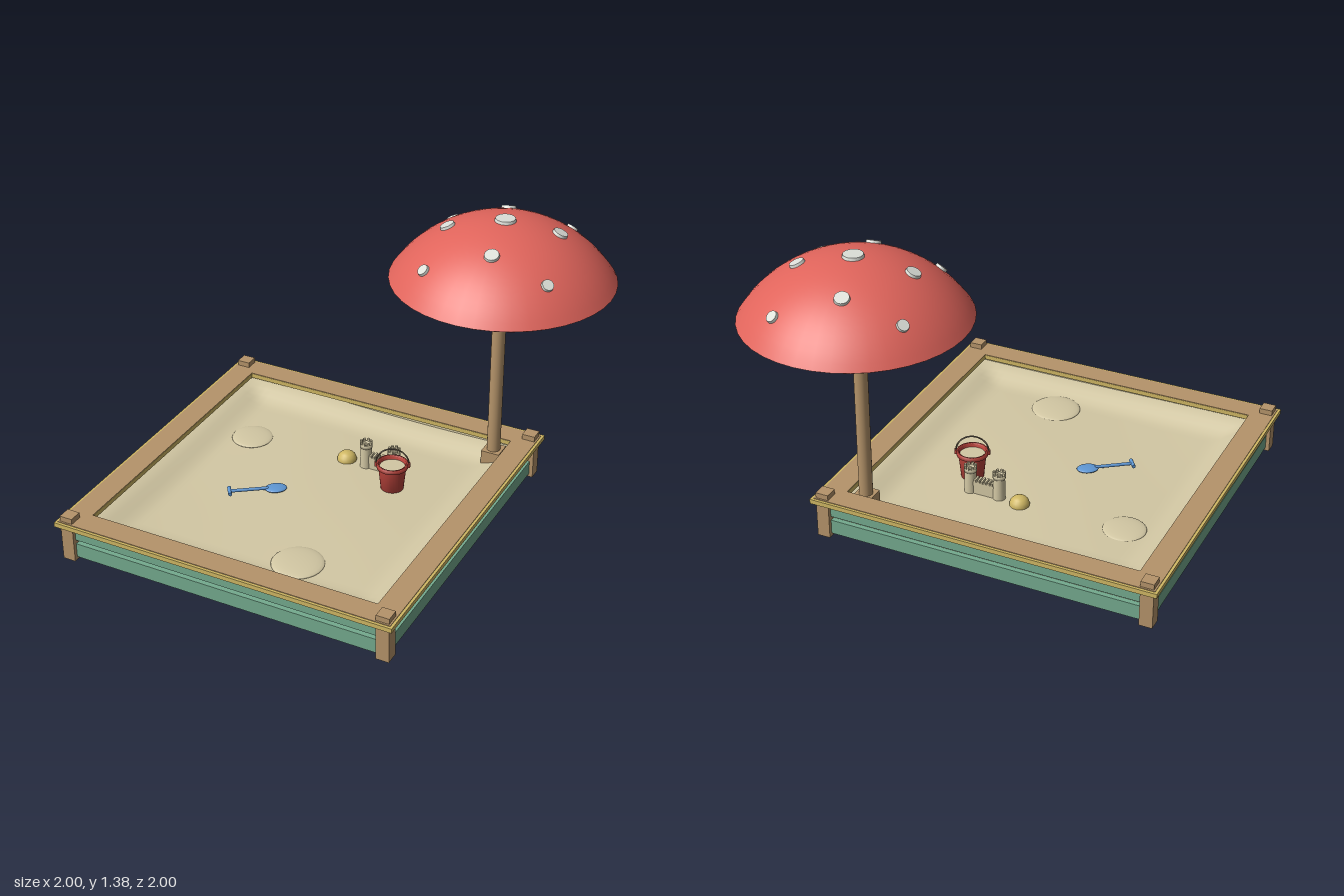
import * as THREE from 'three';

const mat = (name, color, side = THREE.FrontSide) => {
  const m = new THREE.MeshStandardMaterial({ color, side });
  m.name = name;
  return m;
};

export function createModel() {
  const wood = mat('wood', 0xb5946a);
  const trim = mat('yellow trim', 0xd0b864);
  const green = mat('green paint', 0x74aa8e);
  const sand = mat('sand', 0xd3c8a4, THREE.DoubleSide);
  const red = mat('canopy red', 0xe0645b);
  const white = mat('spot white', 0xdcdfd8);
  const bucketRed = mat('bucket red', 0xbe453d, THREE.DoubleSide);
  const metal = mat('dark metal', 0x6a5d4c);
  const blue = mat('spade blue', 0x5e97d4);

  const root = new THREE.Group();
  const group = (name, x, y, z, parent = root) => {
    const g = new THREE.Group();
    g.name = name;
    g.position.set(x, y, z);
    parent.add(g);
    return g;
  };
  const add = (parent, name, geo, material, x = 0, y = 0, z = 0) => {
    const m = new THREE.Mesh(geo, material);
    m.name = name;
    m.position.set(x, y, z);
    parent.add(m);
    return m;
  };
  const box = (w, h, d) => new THREE.BoxGeometry(w, h, d);
  const lathe = (pts, n = 32) =>
    new THREE.LatheGeometry(pts.map(([x, y]) => new THREE.Vector2(x, y)), n);

  // Square frame lying flat, given outer and inner half widths
  const frame = (outer, inner, height) => {
    const square = (C, h) => {
      const s = new C();
      s.moveTo(-h, -h).lineTo(h, -h).lineTo(h, h).lineTo(-h, h).closePath();
      return s;
    };
    const s = square(THREE.Shape, outer);
    s.holes.push(square(THREE.Path, inner));
    return new THREE.ExtrudeGeometry(s, { depth: height, bevelEnabled: false }).rotateX(-Math.PI / 2);
  };

  // Sandbox: base, rim, boards and posts
  const pit = group('sandbox', -0.1675, 0, 0.1675);
  add(pit, 'sandBase', box(1.54, 0.085, 1.54), sand, 0, 0.0475, 0);
  add(pit, 'innerLiner', frame(0.77, 0.745, 0.087), sand, 0, 0.089, 0);
  add(pit, 'rimTrim', frame(0.8325, 0.7075, 0.022), trim, 0, 0.175, 0);
  add(pit, 'rimSeat', frame(0.82, 0.709, 0.004), wood, 0, 0.196, 0);
  for (let i = 0; i < 4; i++) {
    const side = group('side', 0, 0, 0, pit);
    side.rotation.y = i * Math.PI / 2;
    add(side, 'lowerBoard', box(1.51, 0.07, 0.024), green, 0, 0.05, 0.782);
    add(side, 'upperBoard', box(1.51, 0.071, 0.024), green, 0, 0.1405, 0.782);
    add(side, 'cornerPost', box(0.062, 0.226, 0.062), wood, 0.781, 0.113, 0.781);
  }

  // Sand surface, banked up towards the rim
  const height = (x, z) => {
    const edge = Math.max(Math.abs(x), Math.abs(z));
    const bank = THREE.MathUtils.smoothstep(edge, 0.58, 0.74);
    return 0.105 + 0.012 * Math.sin(3.2 * x + 0.6) * Math.cos(2.8 * z - 0.4) + 0.045 * bank;
  };
  const surface = new THREE.PlaneGeometry(1.5, 1.5, 44, 44).rotateX(-Math.PI / 2);
  const p = surface.attributes.position;
  for (let i = 0; i < p.count; i++) p.setY(i, height(p.getX(i), p.getZ(i)));
  surface.computeVertexNormals();
  add(pit, 'sandSurface', surface, sand);
  for (const [x, z, r] of [[-0.65, -0.15, 0.1], [0.05, 0.67, 0.12]]) {
    const lx = x + 0.1675, lz = z - 0.1675;
    const m = add(pit, 'sandMound', new THREE.SphereGeometry(r, 28, 12), sand, lx, height(lx, lz), lz);
    m.scale.y = 0.13;
  }

  // Umbrella: pole, canopy shell, ribs and spots
  const brolly = group('umbrella', 0.485, 0, -0.485);
  const R = 0.614, cy = 0.751, half = Math.asin(0.515 / R);
  add(brolly, 'pole', new THREE.CylinderGeometry(0.032, 0.032, 1.24, 20), wood, -0.005, 0.71, 0.005);
  add(brolly, 'poleFoot', box(0.09, 0.08, 0.09), wood, -0.005, 0.135, 0.005);
  add(brolly, 'poleCollar', new THREE.CylinderGeometry(0.042, 0.042, 0.03, 20), wood, -0.005, 1.19, 0.005);
  const arc = (r, a) => [Math.max(0, r * Math.sin(a)), cy + r * Math.cos(a)];
  const steps = [...Array(17).keys()].map(i => i / 16 * half);
  const rim = arc(R, half);
  add(brolly, 'canopyTop', lathe(steps.map(a => arc(R, a)).reverse(), 40), red);
  add(brolly, 'canopyUnderside', lathe(steps.map(a => arc(R - 0.012, a)), 40), red);
  add(brolly, 'canopyEdge', lathe([arc(R - 0.012, half), rim], 40), red);
  const ribCurve = new THREE.CatmullRomCurve3([0.08, 0.35, 0.65, 0.98].map(t => {
    const [x, y] = arc(R - 0.016, t * half);
    return new THREE.Vector3(x, y, 0);
  }));
  const ribGeo = new THREE.TubeGeometry(ribCurve, 14, 0.006, 6);
  for (let i = 0; i < 8; i++) add(brolly, 'canopyRib', ribGeo, red).rotation.y = (i + 0.5) * Math.PI / 4;
  const spots = [
    [0.14, -0.70, 0.029], [0.395, -0.745, 0.036], [0.665, -0.855, 0.029],
    [0.235, -0.425, 0.037], [0.485, -0.488, 0.05], [0.715, -0.565, 0.037],
    [0.245, -0.155, 0.029], [0.53, -0.235, 0.036], [0.79, -0.24, 0.029],
  ];
  for (const [x, z, r] of spots) {
    const dx = x - 0.485, dz = z + 0.485;
    const n = new THREE.Vector3(dx, Math.sqrt(R * R - dx * dx - dz * dz), dz).normalize();
    const s = add(brolly, 'canopySpot', new THREE.CylinderGeometry(r * 0.9, r, 0.018, 20), white);
    s.position.copy(n).multiplyScalar(R + 0.002).add(new THREE.Vector3(0, cy, 0));
    s.quaternion.setFromUnitVectors(new THREE.Vector3(0, 1, 0), n);
  }

  // Bucket with sand and a wire handle
  const bucket = group('bucket', 0.155, 0.1, -0.05);
  bucket.rotation.y = 0.38;
  add(bucket, 'bucketBody', lathe([[0, 0], [0.052, 0], [0.067, 0.14], [0.061, 0.14], [0.058, 0.11]]), bucketRed);
  add(bucket, 'bucketRim', lathe([[0.064, 0.126], [0.074, 0.126], [0.074, 0.145], [0.063, 0.145], [0.063, 0.126]]), bucketRed);
  add(bucket, 'bucketSand', new THREE.CylinderGeometry(0.06, 0.057, 0.01, 28), sand, 0, 0.122, 0);
  add(bucket, 'bucketHandle', new THREE.TorusGeometry(0.076, 0.004, 6, 28, Math.PI), metal, 0, 0.145, 0);
  for (const s of [-1, 1]) add(bucket, 'handleLug', box(0.014, 0.02, 0.018), bucketRed, s * 0.076, 0.138, 0);

  // Sand castle: two towers joined by a notched wall
  const castle = group('sandCastle', 0.035, 0.1, -0.165);
  for (const s of [-1, 1]) {
    const tower = group('tower', s * 0.073, 0, 0, castle);
    add(tower, 'towerBody', new THREE.CylinderGeometry(0.027, 0.03, 0.122, 20), sand, 0, 0.061, 0);
    add(tower, 'towerTop', lathe([[0.02, 0.12], [0.03, 0.115], [0.03, 0.132], [0.02, 0.132], [0.02, 0.12]], 20), sand);
    for (let i = 0; i < 8; i++) {
      const a = i * Math.PI / 4;
      add(tower, 'battlement', box(0.01, 0.014, 0.012), sand, Math.cos(a) * 0.025, 0.138, Math.sin(a) * 0.025).rotation.y = -a;
    }
  }
  add(castle, 'wall', box(0.12, 0.07, 0.036), sand, 0, 0.035, 0);
  for (let i = 0; i < 6; i++) add(castle, 'wallNotch', box(0.009, 0.014, 0.04), sand, (i - 2.5) * 0.017, 0.075, 0);

  // Yellow sand mould
  const mould = group('sandMould', -0.145, 0.1, -0.175);
  add(mould, 'mouldBody', lathe([[0.046, 0], [0.047, 0.014], [0.042, 0.03], [0.03, 0.043], [0.014, 0.049], [0, 0.05]], 24), trim);

  // Spade lying on the sand
  const spade = group('spade', -0.315, 0.122, 0.215);
  spade.rotation.y = 0.62;
  add(spade, 'spadeBlade', new THREE.SphereGeometry(0.052, 24, 12), blue).scale.set(1, 0.2, 0.75);
  add(spade, 'spadeShaft', new THREE.CylinderGeometry(0.008, 0.008, 0.18, 10).rotateZ(Math.PI / 2), blue, -0.125, 0.004, 0);
  add(spade, 'spadeGrip', new THREE.CylinderGeometry(0.009, 0.009, 0.06, 10).rotateX(Math.PI / 2), blue, -0.215, 0.004, 0);

  return root;
}
